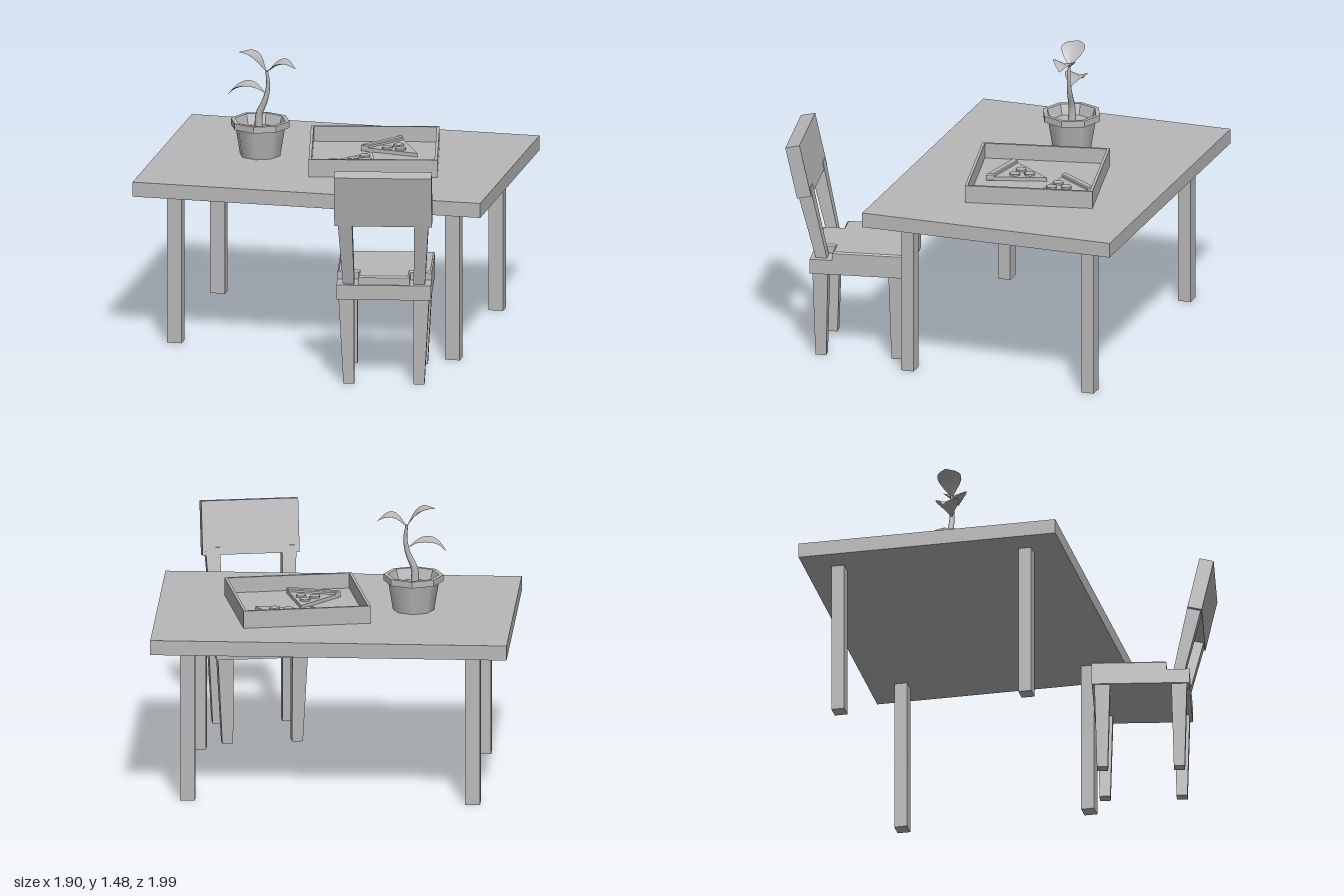
import * as THREE from 'three';

const grey = new THREE.MeshStandardMaterial({ color: 0xb8b8b8, side: THREE.DoubleSide });
grey.name = 'plain grey';

function add(parent, name, geometry, x = 0, y = 0, z = 0) {
  const mesh = new THREE.Mesh(geometry, grey);
  mesh.name = name;
  mesh.position.set(x, y, z);
  parent.add(mesh);
  return mesh;
}

function group(parent, name, x = 0, y = 0, z = 0, turn = 0) {
  const g = new THREE.Group();
  g.name = name;
  g.position.set(x, y, z);
  g.rotation.y = turn;
  parent.add(g);
  return g;
}

// Square bar running from point a to point b, with its own width at each end
function taperedBar(a, b, widthA, widthB) {
  const geo = new THREE.BoxGeometry(1, 1, 1);
  const p = geo.attributes.position;
  const lerp = THREE.MathUtils.lerp;
  for (let i = 0; i < p.count; i++) {
    const t = p.getY(i) + 0.5;
    const w = lerp(widthA, widthB, t);
    p.setXYZ(i, lerp(a[0], b[0], t) + p.getX(i) * w, lerp(a[1], b[1], t), lerp(a[2], b[2], t) + p.getZ(i) * w);
  }
  geo.computeVertexNormals();
  return geo;
}

// Flat slab from an outline of [x, z] points
function slab(points, depth, hole, bevel = 0) {
  const toVectors = (list) => list.map(([x, z]) => new THREE.Vector2(x, -z));
  const shape = new THREE.Shape(toVectors(points));
  if (hole) shape.holes.push(new THREE.Path(toVectors(hole)));
  const geo = new THREE.ExtrudeGeometry(shape, {
    depth, bevelEnabled: bevel > 0, bevelThickness: bevel, bevelSize: bevel, bevelOffset: -bevel, bevelSegments: 1,
  });
  return geo.rotateX(-Math.PI / 2);
}

const square = (h) => [[-h, -h], [h, -h], [h, h], [-h, h]];

function buildTable(root) {
  const table = group(root, 'table');
  add(table, 'tableTop', new THREE.BoxGeometry(1.9, 0.08, 1.4), 0, 0.88, -0.3);
  for (const x of [-0.76, 0.76])
    for (const z of [-0.82, 0.2])
      add(table, 'tableLeg', new THREE.BoxGeometry(0.08, 0.84, 0.07), x, 0.42, z);
}

function buildChair(root) {
  const chair = group(root, 'chair', 0.47, 0, 0.555, 0.184);
  add(chair, 'seatBase', new THREE.BoxGeometry(0.503, 0.08, 0.52), 0, 0.51, 0);
  // Seat pad cut away around the two back posts
  const pad = [[-0.2515, -0.26], [0.2515, -0.26], [0.2515, 0.138], [0.137, 0.138],
    [0.137, 0.25], [-0.137, 0.25], [-0.137, 0.138], [-0.2515, 0.138]];
  add(chair, 'seatPad', slab(pad, 0.055, null, 0.008), 0, 0.535, 0);
  for (const s of [-1, 1]) {
    for (const z of [-0.205, 0.205])
      add(chair, 'chairLeg', taperedBar([s * 0.187, 0, z], [s * 0.2, 0.48, z], 0.058, 0.083));
    add(chair, 'backPost', taperedBar([s * 0.188, 0.54, 0.2], [s * 0.206, 0.95, 0.295], 0.06, 0.078));
  }
  const rest = add(chair, 'backrest', new THREE.BoxGeometry(0.52, 0.29, 0.078), 0, 1.043, 0.32);
  rest.rotation.x = 0.22;
}

function buildTray(root) {
  const tray = group(root, 'foodBox', 0.2035, 0.92, -0.322, 0.209);
  add(tray, 'boxWalls', slab(square(0.3425), 0.095, square(0.3275)));
  add(tray, 'boxFloor', new THREE.BoxGeometry(0.67, 0.012, 0.67), 0, 0.006, 0);

  // Each slice: tip, then the two crust corners, then toppings
  const slices = [
    { c: [[0.425, -0.39], [0.272, -0.675], [0.103, -0.443]], dots: [[0.293, -0.517], [0.245, -0.454], [0.319, -0.443]] },
    { c: [[0.182, -0.369], [0.277, -0.058], [-0.013, -0.111]], dots: [[0.166, -0.264], [0.119, -0.2], [0.193, -0.19]] },
  ];
  for (const { c: [tip, a, b], dots } of slices) {
    const slice = group(root, 'slice', 0, 0.932, 0);
    const toTip = (p) => [p[0] + (tip[0] - p[0]) * 0.13, p[1] + (tip[1] - p[1]) * 0.13];
    add(slice, 'sliceBase', slab([tip, toTip(a), toTip(b)], 0.02));
    add(slice, 'crust', slab([a, b, toTip(b), toTip(a)], 0.03, null, 0.005), 0, 0.001, 0);
    for (const [x, z] of dots)
      add(slice, 'topping', new THREE.CylinderGeometry(0.03, 0.03, 0.012, 6), x, 0.024, z);
  }
}

// Pointed leaf folded along its midrib, following a curve in the xy plane
function leafGeometry(points, width) {
  const curve = new THREE.CatmullRomCurve3(points.map(([x, y]) => new THREE.Vector3(x, y, 0)));
  const geo = new THREE.PlaneGeometry(1, 2, 12, 4);
  const p = geo.attributes.position;
  for (let i = 0; i < p.count; i++) {
    const t = p.getX(i) + 0.5;
    const side = p.getY(i);
    const c = curve.getPointAt(t);
    const half = (width / 2) * (0.04 + 0.96 * Math.sin(Math.PI * t) ** 1.3) * (t > 0.99 ? 0 : 1);
    p.setXYZ(i, c.x, c.y + Math.abs(side) * half * 0.3, -side * half);
  }
  geo.computeVertexNormals();
  return geo;
}

function buildPlant(root) {
  const plant = group(root, 'pottedPlant', -0.413, 0, -0.293);
  const lathe = (pts) => new THREE.LatheGeometry(pts.map(([r, y]) => new THREE.Vector2(r, y)), 8);
  const flat = (geo) => {
    const g = geo.toNonIndexed();
    g.computeVertexNormals();
    return g;
  };
  add(plant, 'potBody', lathe([[0.11, 0.92], [0.137, 1.08]]));
  add(plant, 'potRim', flat(lathe([[0.132, 1.078], [0.16, 1.078], [0.16, 1.113], [0.137, 1.113], [0.117, 1.05]])));
  add(plant, 'soil', flat(lathe([[0.119, 1.055], [0, 1.055]])));

  // Stem: a tube thinned toward its top
  const stemPath = new THREE.CatmullRomCurve3([[-0.006, 1.04], [-0.006, 1.14], [0.03, 1.23], [0.044, 1.31], [0.035, 1.385]]
    .map(([x, y]) => new THREE.Vector3(x, y, 0)));
  const rings = 12, sides = 8;
  const stem = new THREE.TubeGeometry(stemPath, rings, 0.024, sides);
  const p = stem.attributes.position;
  const v = new THREE.Vector3();
  for (let i = 0; i < p.count; i++) {
    const t = Math.floor(i / (sides + 1)) / rings;
    const c = stemPath.getPointAt(t);
    v.fromBufferAttribute(p, i).sub(c).multiplyScalar(1 - 0.7 * t).add(c);
    p.setXYZ(i, v.x, v.y, v.z);
  }
  add(plant, 'stem', stem);

  add(plant, 'upperLeaf', leafGeometry([[0.037, 1.375], [-0.01, 1.435], [-0.06, 1.467], [-0.118, 1.478]], 0.13));
  add(plant, 'sideLeaf', leafGeometry([[0.035, 1.375], [0.09, 1.415], [0.14, 1.425], [0.197, 1.402]], 0.125));
  add(plant, 'lowerLeaf', leafGeometry([[0.03, 1.26], [-0.02, 1.285], [-0.087, 1.29], [-0.137, 1.275], [-0.178, 1.24]], 0.125));
}

export function createModel() {
  const model = new THREE.Group();
  model.name = 'diningSet';
  buildTable(model);
  buildChair(model);
  buildTray(model);
  buildPlant(model);
  return model;
}
